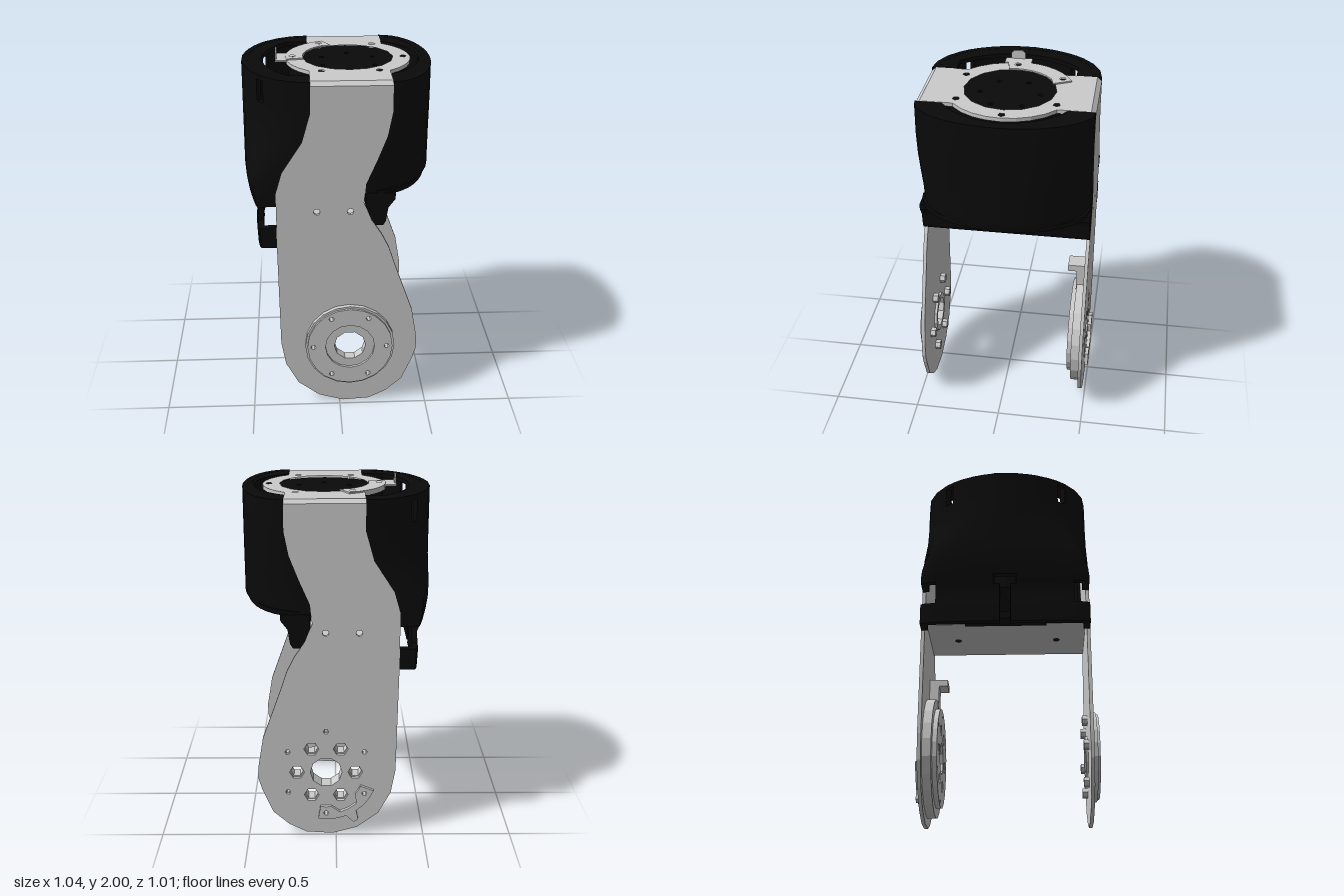
import * as THREE from 'three';
import { toCreasedNormals } from 'three/addons/utils/BufferGeometryUtils.js';

const GREY = new THREE.MeshStandardMaterial({ color: 0xcccccc });
const BLACK = new THREE.MeshStandardMaterial({ color: 0x0a0a0a, side: THREE.DoubleSide });
const HX = 0.057, HY = 0.39; // joint axis
const RX = 0.065, RZ = -0.01; // top ring axis
const TOP = 1.945;
const ZH = 0.474; // half depth of the covers

// Bracket edges as [y, x]
const leftEdge = [[0.4, -0.335], [1.0, -0.345], [1.33, -0.345], [1.45, -0.31], [1.62, -0.2], [1.78, -0.155], [1.925, -0.155]];
const rightEdge = [[0.35, 0.44], [0.42, 0.44], [0.6, 0.41], [0.88, 0.31], [1.0, 0.27], [1.08, 0.23], [1.17, 0.17], [1.27, 0.13],
  [1.38, 0.14], [1.52, 0.2], [1.65, 0.25], [1.78, 0.275], [1.925, 0.275]];
const bottomEdge = [[-0.31, 0.26], [-0.24, 0.13], [-0.12, 0.04], [0.02, 0], [0.17, 0.01], [0.27, 0.06], [0.36, 0.14], [0.42, 0.28]];

function interp(table, y) {
  let i = 0;
  while (i < table.length - 2 && y > table[i + 1][0]) i++;
  const [y0, v0] = table[i], [y1, v1] = table[i + 1];
  return THREE.MathUtils.lerp(v0, v1, THREE.MathUtils.clamp((y - y0) / (y1 - y0), 0, 1));
}

const V = (p) => new THREE.Vector2(p[0], p[1]);
const arc = (cx, cy, r, a0, a1, n) => Array.from({ length: n + 1 }, (_, i) => {
  const a = THREE.MathUtils.degToRad(a0 + (a1 - a0) * i / n);
  return [cx + r * Math.cos(a), cy + r * Math.sin(a)];
});
const ngon = (cx, cy, r, n) => arc(cx, cy, r, 0, 360, n).slice(0, n);
const around = (cx, cy, r, start, holeR, n) =>
  arc(cx, cy, r, start, start + 300, 5).map(([x, y]) => ngon(x, y, holeR, n));

function add(parent, name, geometry, material = GREY) {
  const mesh = new THREE.Mesh(geometry, material);
  mesh.name = name;
  parent.add(mesh);
}

function group(parent, name) {
  const g = new THREE.Group();
  g.name = name;
  parent.add(g);
  return g;
}

function slab(points, holes, depth) {
  const shape = new THREE.Shape(points.map(V));
  shape.holes = holes.map((h) => new THREE.Path(h.map(V)));
  return new THREE.ExtrudeGeometry(shape, { depth, bevelEnabled: false });
}
// Upright slab from z0 to z1; flat slab (points are x, z) from y0 to y1; side slab (points are z, y) from x0 to x1
const upright = (points, holes, z0, z1) => slab(points, holes, z1 - z0).translate(0, 0, z0);
const flat = (points, holes, y0, y1) => {
  const flip = (l) => l.map(([x, z]) => [x, -z]);
  return slab(flip(points), holes.map(flip), y1 - y0).rotateX(-Math.PI / 2).translate(0, y0, 0);
};
const side = (points, x0, x1) => slab(points.map(([z, y]) => [-z, y]), [], x1 - x0).rotateY(Math.PI / 2).translate(x0, 0, 0);
const box = (x0, x1, y0, y1, z0, z1) =>
  new THREE.BoxGeometry(x1 - x0, y1 - y0, z1 - z0).translate((x0 + x1) / 2, (y0 + y1) / 2, (z0 + z1) / 2);

// Thick curved wall on a column/row grid; cells failing keep() become openings
function wall(nCols, rows, point, keep) {
  const pos = [];
  const quad = (a, b, c, d) => [a, b, c, a, c, d].forEach((p) => pos.push(...p));
  const has = (i, j) => i >= 0 && j >= 0 && i < nCols && j < rows.length - 1 && keep(i, (rows[j] + rows[j + 1]) / 2);
  for (let i = 0; i < nCols; i++) for (let j = 0; j < rows.length - 1; j++) {
    if (!has(i, j)) continue;
    const corners = [[i, j], [i + 1, j], [i + 1, j + 1], [i, j + 1]];
    const o = corners.map(([c, r]) => point(c, rows[r], false));
    const n = corners.map(([c, r]) => point(c, rows[r], true));
    quad(o[0], o[1], o[2], o[3]);
    quad(n[3], n[2], n[1], n[0]);
    [[i, j - 1], [i + 1, j], [i, j + 1], [i - 1, j]].forEach((nb, k) => {
      const m = (k + 1) % 4;
      if (!has(...nb)) quad(o[m], o[k], n[k], n[m]);
    });
  }
  const g = new THREE.BufferGeometry();
  g.setAttribute('position', new THREE.Float32BufferAttribute(pos, 3));
  return toCreasedNormals(g, 0.6);
}

function buildBracket(root) {
  const g = group(root, 'bracket');
  const outline = [...bottomEdge, ...rightEdge.map(([y, x]) => [x, y]), ...leftEdge.map(([y, x]) => [x, y]).reverse()];
  const rivets = [-0.125, HX].map((x) => ngon(x, 1.22, 0.018, 8));
  const bore = ngon(HX, HY, 0.09, 10);
  add(g, 'frontPlate', upright(outline, [bore, ...rivets, ...around(HX, HY, 0.21, 0, 0.015, 6)], 0.445, 0.465));
  const hornHoles = [bore, ...around(HX, HY, 0.165, 0, 0.042, 6), ...around(HX, HY, 0.25, 30, 0.015, 6)];
  add(g, 'backPlate', upright(outline, [...rivets, ...hornHoles], -0.485, -0.465));

  // Top plate: strip with ear arcs on both sides around the bore
  const ear = (x, mid) => {
    const half = THREE.MathUtils.radToDeg(Math.acos(Math.abs(x - RX) / 0.345));
    return arc(RX, RZ, 0.345, mid - half, mid + half, 8);
  };
  const top = [[-0.155, -0.46], [0.275, -0.46], ...ear(0.275, 0), [0.275, 0.44], [-0.155, 0.44], ...ear(-0.155, 180)];
  add(g, 'topPlate', flat(top, [ngon(RX, RZ, 0.25, 16), ...around(RX, RZ, 0.307, 0, 0.02, 5)], 1.925, 1.946));
  // Bevelled bends between top and side plates
  add(g, 'frontBend', side([[0.44, 1.946], [0.465, 1.925], [0.44, 1.925]], -0.155, 0.275));
  add(g, 'backBend', side([[-0.485, 1.925], [-0.46, 1.946], [-0.46, 1.925]], -0.155, 0.275));
  const midHoles = [-0.3, 0.28].map((z) => ngon(-0.03, z, 0.018, 8));
  add(g, 'crossPlate', flat([[-0.245, -0.465], [0.17, -0.465], [0.17, 0.445], [-0.245, 0.445]], midHoles, 1.095, 1.115));

  // Thin clip on the ring with an upturned tab
  const clip = [...arc(RX, RZ, 0.345, 170, 247, 8), [-0.02, -0.23], ...arc(RX, RZ, 0.25, 235, 170, 6)];
  const clipHoles = [180, 240].map((a) => ngon(...arc(RX, RZ, 0.307, a, a, 1)[0], 0.02, 5));
  add(g, 'ringClip', flat(clip, clipHoles, 1.946, 1.954));
  add(g, 'ringClipFoot', box(-0.335, -0.27, 1.942, 1.952, -0.08, 0.07));
  add(g, 'ringClipTab', side([[0.04, 1.945], [0.04, 1.985], [0.025, 2], [-0.025, 2], [-0.04, 1.985], [-0.04, 1.945]], -0.335, -0.327));
}

function buildJoint(root) {
  const g = group(root, 'joint');
  const bolts = around(HX, HY, 0.21, 0, 0.015, 6);
  const bore = ngon(HX, HY, 0.09, 10);
  // Front bearing: chamfered flange with a sunken inner ring
  add(g, 'bearingFlange', upright(ngon(HX, HY, 0.255, 20), [ngon(HX, HY, 0.14, 16), ...bolts], 0.465, 0.492));
  add(g, 'bearingFace', upright(ngon(HX, HY, 0.243, 20), [ngon(HX, HY, 0.14, 16), ...bolts], 0.492, 0.505));
  add(g, 'bearingInnerRing', upright(ngon(HX, HY, 0.142, 16), [bore], 0.465, 0.49));
  add(g, 'bearingCollar', upright(ngon(HX, HY, 0.12, 12), [bore], 0.43, 0.445));
  around(HX, HY, 0.21, 0, 0.03, 6).forEach((hex, i) => add(g, 'nut', upright(hex, [bolts[i]], 0.415, 0.445)));

  // Back horn: stepped disc on the inner side, with a hooked stop
  const holes = [bore, ...around(HX, HY, 0.165, 0, 0.035, 6), ...around(HX, HY, 0.25, 30, 0.013, 6)];
  add(g, 'hornBase', upright(ngon(HX, HY, 0.34, 22), holes, -0.465, -0.415));
  add(g, 'hornFace', upright(ngon(HX, HY, 0.285, 22), holes, -0.415, -0.388));
  add(g, 'hornStem', box(HX - 0.05, HX + 0.05, 0.69, 0.86, -0.465, -0.41));
  add(g, 'hornHook', box(HX - 0.05, HX + 0.05, 0.82, 0.86, -0.41, -0.36));

  // Outer lock clip: bowed strip with a small foot
  const strip = [...arc(HX, HY, 0.29, 202, 234, 4), ...arc(HX, HY, 0.345, 238, 243, 1), ...arc(HX, HY, 0.29, 247, 279, 4),
    ...arc(HX, HY, 0.21, 279, 262, 2), ...arc(HX, HY, 0.255, 252, 228, 2), ...arc(HX, HY, 0.21, 218, 202, 2)];
  const pins = [210, 270].map((a) => ngon(...arc(HX, HY, 0.25, a, a, 1)[0], 0.015, 6));
  add(g, 'lockClip', upright(strip, pins, -0.505, -0.485));
}

function buildLeftCover(g) {
  // Columns: [reach 0..1 from bracket edge to outermost x, half depth of the squarish foot]
  const half = [[0, ZH], [0.25, ZH], [0.48, ZH], [0.67, ZH], [0.76, ZH], [0.84, 0.455], [0.92, 0.39], [0.96, 0.3],
    [0.985, 0.15], [1, 0.065], [1, 0.03]];
  const cols = [...half.map(([a, z]) => [a, -z]), ...half.slice().reverse()];
  const N = cols.length - 1, mid = (N - 1) / 2;
  const outX = [[1.01, -0.455], [1.1, -0.46], [1.2, -0.45], [1.3, -0.49], [1.42, -0.52], [2, -0.52]];
  const rows = [1.01, 1.1, 1.13, 1.2, 1.24, 1.255, 1.29, 1.33, 1.39, 1.45, 1.53, 1.62, 1.7, 1.78, 1.8, 1.92, TOP];
  // Elliptical at the top, blending to squarish below
  const depthAt = ([a, z], y) => {
    const round = a === 1 ? Math.abs(z) : ZH * Math.sqrt(1 - a * a);
    return RZ + Math.sign(z) * THREE.MathUtils.lerp(Math.abs(z), round, THREE.MathUtils.smoothstep(y, 1.28, 1.74));
  };
  const point = (c, y, inner) => {
    const a = cols[c][0], z = depthAt(cols[c], y);
    const x = THREE.MathUtils.lerp(interp(leftEdge, y), interp(outX, y), a);
    return inner ? [x + 0.035 * a * a, y, RZ + (z - RZ) * 0.92] : [x, y, z];
  };
  add(g, 'leftCover', wall(N, rows, point, (i, y) => {
    const end = Math.min(i, N - 1 - i), d = Math.abs(i - mid);
    if (end < 6 && y > 1.13 && y < 1.255) return false; // side notch
    if (end === 3 && y > 1.8 && y < 1.92) return false; // cable slot
    return !(d === 0 && y < 1.29) && !(d === 1 && y > 1.24 && y < 1.29); // split and arch
  }), BLACK);
  const rim = [...cols.map((c) => [-0.155 - 0.365 * c[0], depthAt(c, TOP)]), [-0.155, 0.325], [-0.275, 0.325],
    ...arc(RX, RZ, 0.475, 136, 224, 16), [-0.275, -0.345], [-0.155, -0.345]];
  add(g, 'leftRim', flat(rim, [], 1.92, TOP - 0.001), BLACK);
  add(g, 'leftShelf', flat([[-0.24, -0.245], [-0.265, -0.245], [-0.34, -0.08], [-0.34, 0.075], [-0.265, 0.22], [-0.24, 0.22]],
    [], 1.085, 1.125), BLACK);
}

function buildRightCover(g) {
  // Elliptical shell
  const M = 20;
  const point = (c, y, inner) => {
    const t = Math.PI * c / M, a = Math.sin(t);
    const x = THREE.MathUtils.lerp(interp(rightEdge, y), y < 1.34 ? 0.505 : 0.52, a);
    return inner ? [x - 0.045 * a, y, RZ + ZH * 0.92 * Math.cos(t)] : [x, y, RZ + ZH * Math.cos(t)];
  };
  add(g, 'rightCover', wall(M, [1.32, 1.345, 1.38, 1.52, 1.65, 1.78, TOP], point, () => true), BLACK);
  // Rim and floor around a crescent opening
  const crescent = (x0) => {
    const outer = Array.from({ length: M + 1 }, (_, i) => {
      const t = Math.PI * i / M;
      return [x0 + (0.5 - x0) * Math.sin(t), RZ + ZH * Math.cos(t)];
    });
    const h = THREE.MathUtils.radToDeg(Math.acos((x0 - RX) / 0.392));
    return [...outer, ...arc(RX, RZ, 0.392, -h, h, 16)];
  };
  add(g, 'rightRim', flat(crescent(0.275), [], 1.915, TOP - 0.001), BLACK);
  add(g, 'rightFloor', flat(crescent(0.2), [], 1.315, 1.34), BLACK);
  // Flared inner skirt with an arch cut through its middle
  const lower = [[0.17, 1.135], [0.235, 1.135], [0.25, 1.16], [0.262, 1.24], [0.14, 1.24]];
  const upper = [[0.14, 1.24], [0.262, 1.24], [0.3, 1.29], [0.3, 1.325], [0.14, 1.325]];
  add(g, 'rightSkirt', upright(lower, [], -0.484, 0.464), BLACK);
  const arch = arc(-0.015, 1.24, 0.055, 180, 0, 8);
  add(g, 'rightSkirtArch', side([[-0.08, 1.24], ...arch, [0.05, 1.24], [0.05, 1.325], [-0.08, 1.325]], 0.14, 0.28), BLACK);
  [[-0.484, -0.08], [0.05, 0.464]].forEach(([z0, z1]) => add(g, 'rightSkirtFlare', upright(upper, [], z0, z1), BLACK));
}

export function createModel() {
  const root = new THREE.Group();
  root.name = 'jointLink';
  buildBracket(root);
  buildJoint(root);
  const covers = group(root, 'covers');
  buildLeftCover(covers);
  buildRightCover(covers);
  // Motor under the ring, its face with six dimples
  const motor = group(root, 'motor');
  add(motor, 'motorBody', flat(ngon(RX, RZ, 0.33, 24), [], 1.325, 1.9), BLACK);
  add(motor, 'motorFace', flat(ngon(RX, RZ, 0.33, 24), around(RX, RZ, 0.165, 30, 0.015, 6), 1.9, 1.922), BLACK);
  return root;
}
